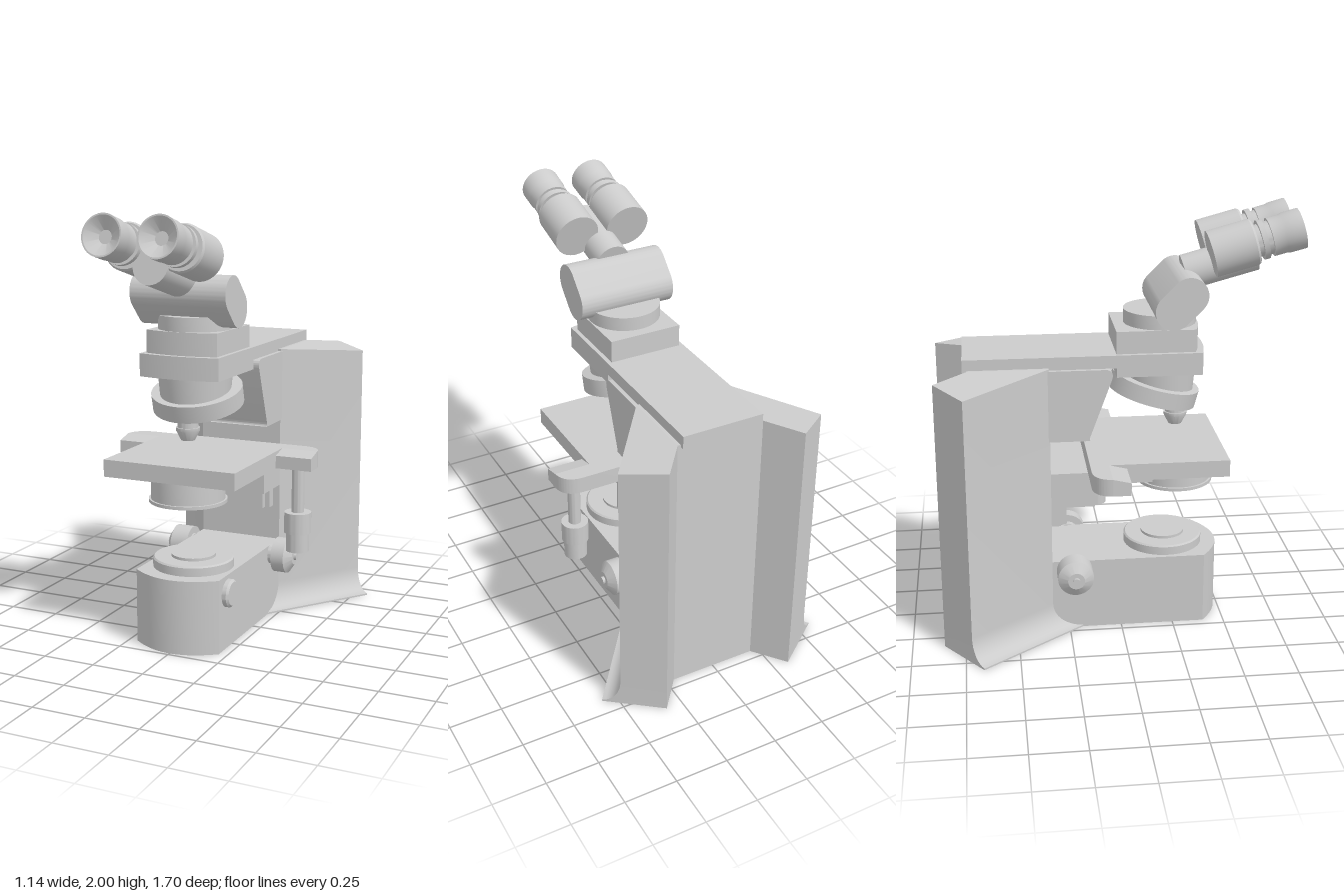
import * as THREE from 'three';
import { toCreasedNormals } from 'three/addons/utils/BufferGeometryUtils.js';

const material = new THREE.MeshStandardMaterial({ color: 0xcccccc });
const TILT = THREE.MathUtils.degToRad(15);

export function createModel() {
  const model = new THREE.Group();

  function add(name, geometry, x = 0, y = 0, z = 0) {
    const mesh = new THREE.Mesh(toCreasedNormals(geometry, 0.5), material);
    mesh.name = name;
    mesh.position.set(x, y, z);
    model.add(mesh);
    return mesh;
  }

  // Box given by its limits on each axis
  const box = (name, x0, x1, y0, y1, z0, z1) =>
    add(name, new THREE.BoxGeometry(x1 - x0, y1 - y0, z1 - z0), (x0 + x1) / 2, (y0 + y1) / 2, (z0 + z1) / 2);

  // Turned part from [radius, height] pairs, listed bottom to top
  const turned = (name, profile, x, y, z) =>
    add(name, new THREE.LatheGeometry(profile.map(([r, h]) => new THREE.Vector2(r, h)), 48), x, y, z);

  // Plan outline (x, -z) raised from y0 to y1
  function raise(name, shape, y0, y1) {
    const g = new THREE.ExtrudeGeometry(shape, { depth: y1 - y0, bevelEnabled: false, curveSegments: 20 });
    return add(name, g.rotateX(-Math.PI / 2), 0, y0, 0);
  }

  // Side outline (z, y) extruded across the width
  function across(name, shape, halfWidth) {
    const g = new THREE.ExtrudeGeometry(shape, { depth: 2 * halfWidth, bevelEnabled: false, curveSegments: 20 });
    return add(name, g.translate(0, 0, -halfWidth).rotateY(-Math.PI / 2));
  }

  const polygon = (points) => new THREE.Shape(points.map(([a, b]) => new THREE.Vector2(a, b)));

  // Rectangular plan with a bowed front
  function bowed(halfWidth, back, side, front) {
    const s = new THREE.Shape();
    s.moveTo(-halfWidth, -back);
    s.lineTo(-halfWidth, -side);
    s.quadraticCurveTo(0, -(2 * front - side), halfWidth, -side);
    s.lineTo(halfWidth, -back);
    return s;
  }

  // Rear column: centre block and two splayed wings with a flared foot
  box('columnCore', -0.21, 0.21, 0, 1.31, -0.7, -0.33);
  add('leftWing', wingGeometry(1));
  add('rightWing', wingGeometry(-1));

  // Foot with lamp
  raise('base', bowed(0.21, -0.36, 0.4, 0.485), 0, 0.35);
  turned('lampHousing', [[0.19, 0], [0.19, 0.04], [0.183, 0.047], [0, 0.047]], 0, 0.35, 0.225);
  turned('lampLens', [[0.105, 0], [0.105, 0.015], [0, 0.015]], 0, 0.395, 0.225);
  turned('powerButton', [[0.065, 0], [0.065, 0.02], [0.055, 0.03], [0, 0.03]], 0.21, 0.265, 0.305).rotation.z = -Math.PI / 2;

  // Focus knobs on both sides
  for (const s of [1, -1]) {
    const start = s > 0 ? 0.035 : 0.01;
    turned('focusKnob', [[0, 0], [0.05, 0], [0.05, start], [0.085, start], [0.085, 0.1], [0.04, 0.13],
      [0.018, 0.13], [0.018, 0.143], [0, 0.143]], s * 0.205, 0.305, -0.225).rotation.z = -s * Math.PI / 2;
  }

  // Upper arm and its bracket
  box('arm', -0.195, 0.195, 1.3, 1.36, -0.72, 0);
  const bracket = polygon([[-0.35, 0.96], [-0.14, 0.96]]);
  bracket.quadraticCurveTo(-0.152, 0.96, -0.145, 0.98);
  bracket.lineTo(-0.045, 1.25);
  bracket.quadraticCurveTo(-0.03, 1.295, -0.07, 1.3);
  bracket.lineTo(-0.35, 1.3);
  across('armBracket', bracket, 0.215);

  // Head
  raise('headBlock', bowed(0.195, -0.02, 0.375, 0.4), 1.255, 1.36);
  raise('upperHeadBlock', bowed(0.175, -0.02, 0.345, 0.375), 1.36, 1.465);
  turned('headCollar', [[0.17, 0], [0.17, 0.07], [0, 0.07]], 0, 1.46, 0.2);
  const pivot = new THREE.Shape();
  pivot.absarc(0.305, 1.635, 0.085, -Math.PI / 4, Math.PI * 0.75);
  pivot.absarc(0.235, 1.565, 0.085, Math.PI * 0.75, Math.PI * 1.75);
  across('headPivot', pivot, 0.235);

  // Binocular tubes
  turned('tubeNeck', [[0, 0], [0.083, 0], [0.083, 0.337], [0, 0.337]], 0, 1.69, 0.312).rotation.x = Math.PI / 2 - TILT;
  const eyepiece = [[0, 0], [0.107, 0], [0.107, 0.195], [0.1, 0.205], [0.074, 0.205], [0.074, 0.228],
    [0.091, 0.228], [0.091, 0.252], [0.076, 0.252], [0.076, 0.275], [0.088, 0.275], [0.088, 0.335],
    [0.092, 0.345], [0.093, 0.423], [0.086, 0.423], [0.03, 0.385], [0, 0.385]];
  for (const x of [0.13, -0.13])
    turned('eyepiece', eyepiece, x, 1.802, 0.413).rotation.x = Math.PI / 2 - TILT;

  // Nosepiece and objective
  turned('nosepieceMount', [[0, 0], [0.16, 0], [0.172, 0.13], [0, 0.13]], 0, 1.13, 0.2);
  turned('turretDisc', [[0, -0.04], [0.212, -0.04], [0.212, 0.04], [0, 0.04]], 0, 1.146, 0.175).rotation.x = TILT;
  turned('objective', [[0, 0], [0.032, 0], [0.055, 0.045], [0.055, 0.06], [0.048, 0.06], [0.048, 0.15]], 0, 0.96, 0.28);

  // Stage plate and rear crossbar with rounded corners
  box('stagePlate', -0.325, 0.325, 0.8, 0.88, -0.1, 0.49);
  const bar = polygon([[-0.5, 0.07], [0.5, 0.07]]);
  bar.quadraticCurveTo(0.49, 0.155, 0.4, 0.157);
  bar.lineTo(-0.4, 0.157);
  bar.quadraticCurveTo(-0.49, 0.155, -0.5, 0.07);
  raise('stageCrossbar', bar, 0.8, 0.88);
  across('stageCrossbarFront', polygon([[-0.07, 0.8], [0.012, 0.8], [0.012, 0.86], [-0.07, 0.88]]), 0.5);

  // Stage carriage and condenser
  box('stageCarriage', -0.21, 0.21, 0.63, 0.8, -0.34, -0.125);
  box('carriageSlide', -0.15, 0.15, 0.52, 0.63, -0.34, -0.255);
  box('carriageRail', -0.175, 0.175, 0.52, 0.63, -0.34, -0.285);
  box('condenserBracket', -0.21, 0.21, 0.768, 0.8, -0.13, 0.15);
  box('condenserSlide', -0.185, 0.185, 0.73, 0.768, -0.13, 0.15);
  turned('condenser', [[0, 0], [0.182, 0], [0.182, 0.015], [0.172, 0.015], [0.172, 0.13]], 0, 0.675, 0.28);

  // Stage drive hanging at the left
  turned('stageDrive', [[0, 0], [0.055, 0], [0.055, 0.09], [0.064, 0.09], [0.064, 0.19], [0.03, 0.19],
    [0.03, 0.42]], 0.408, 0.39, -0.068);

  return model;
}

// Wing lofted from four-cornered sections; the front face flares near the floor
function wingGeometry(side) {
  const section = (flare, y) => [
    [0.21, -0.33 + flare / 0.597],
    [0.5 + 0.802 * flare, -0.72 + 0.597 * flare],
    [0.33, -0.85],
    [0.21, -0.7],
  ].map(([x, z]) => [side * x, y ?? 1.34 - 0.14 * x, z]);

  const rings = [section(0.087, 0)];
  for (let i = 0; i <= 8; i++) {
    const a = (i / 8) * (Math.PI / 2);
    rings.push(section(0.087 * (1 - Math.sin(a)), 0.008 + 0.12 * (1 - Math.cos(a))));
  }
  rings.push(section(0));

  const positions = [];
  const quad = (a, b, c, d) => {
    const corners = side > 0 ? [a, b, c, a, c, d] : [a, c, b, a, d, c];
    for (const p of corners) positions.push(...p);
  };
  for (let r = 0; r < rings.length - 1; r++)
    for (let i = 0; i < 4; i++) {
      const j = (i + 1) % 4;
      quad(rings[r][i], rings[r][j], rings[r + 1][j], rings[r + 1][i]);
    }
  const top = rings[rings.length - 1];
  quad(top[0], top[1], top[2], top[3]);
  quad(rings[0][3], rings[0][2], rings[0][1], rings[0][0]);

  const geometry = new THREE.BufferGeometry();
  geometry.setAttribute('position', new THREE.Float32BufferAttribute(positions, 3));
  return geometry;
}
